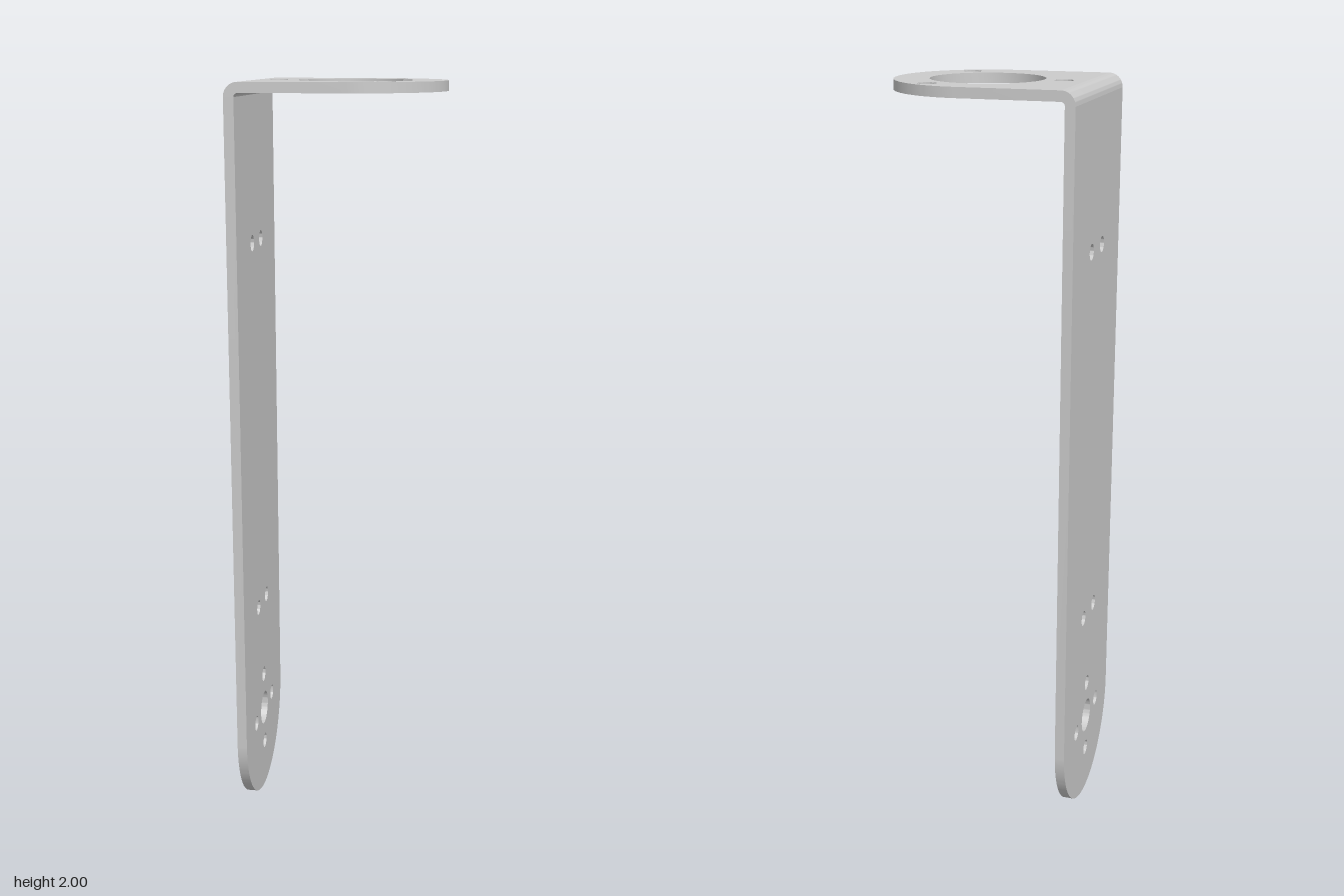
import * as THREE from 'three';
import { toCreasedNormals } from 'three/addons/utils/BufferGeometryUtils.js';

const T = 0.026;          // sheet thickness
const W = 0.2365;         // half width, also the radius of the round ends
const R_OUT = 0.036;      // outer bend radius
const R_IN = R_OUT - T;   // inner bend radius
const BACK = -0.2635;     // outer face of the upright
const TOP = 2;            // outer face of the flange

const material = new THREE.MeshStandardMaterial({ color: 0xcccccc });

function extrude(shape, depth, curveSegments) {
  const geometry = new THREE.ExtrudeGeometry(shape, { depth, curveSegments, bevelEnabled: false });
  return toCreasedNormals(geometry, 0.6);
}

// Strip with a round lower end centred on the origin; holes are [x, y, radius]
function roundEndedStrip(length, holes) {
  const shape = new THREE.Shape();
  shape.moveTo(-W, length);
  shape.lineTo(-W, 0);
  shape.absarc(0, 0, W, Math.PI, Math.PI * 2, false);
  shape.lineTo(W, length);
  shape.closePath();
  for (const [x, y, r] of holes) {
    shape.holes.push(new THREE.Path().absarc(x, y, r, 0, Math.PI * 2, true));
  }
  return extrude(shape, T, 40);
}

// Evenly spaced holes on a circle around the strip's round end
function holeCircle(count, distance, r) {
  return Array.from({ length: count }, (_, i) => {
    const a = Math.PI / 2 + (i * Math.PI * 2) / count;
    return [Math.cos(a) * distance, Math.sin(a) * distance, r];
  });
}

export function createModel() {
  const group = new THREE.Group();
  group.name = 'mountingBracket';
  const add = (name, geometry) => {
    const mesh = new THREE.Mesh(geometry, material);
    mesh.name = name;
    group.add(mesh);
  };

  // Upright plate: shaft hole, four screw holes around it, two pairs above
  const uprightHoles = [[0, 0, 0.047], ...holeCircle(4, 0.105, 0.021)];
  for (const y of [0.568, 1.588]) {
    for (const side of [-1, 1]) uprightHoles.push([side * 0.053, y - W, 0.021]);
  }
  const upright = roundEndedStrip(TOP - R_OUT - W, uprightHoles);
  upright.rotateY(Math.PI / 2).translate(BACK, W, 0);
  add('uprightPlate', upright);

  // Top flange: large opening with three screw holes around it
  const centreX = -BACK - W;
  const flange = roundEndedStrip(centreX - BACK - R_OUT, [[0, 0, 0.146], ...holeCircle(3, 0.198, 0.024)]);
  flange.rotateX(-Math.PI / 2).rotateY(Math.PI / 2).translate(centreX, TOP - T, 0);
  add('topFlange', flange);

  // Quarter-round bend joining the two plates
  const bend = new THREE.Shape();
  bend.absarc(0, 0, R_OUT, Math.PI / 2, Math.PI, false);
  bend.absarc(0, 0, R_IN, Math.PI, Math.PI / 2, true);
  bend.closePath();
  add('bend', extrude(bend, 2 * W, 12).translate(BACK + R_OUT, TOP - R_OUT, -W));

  return group;
}
